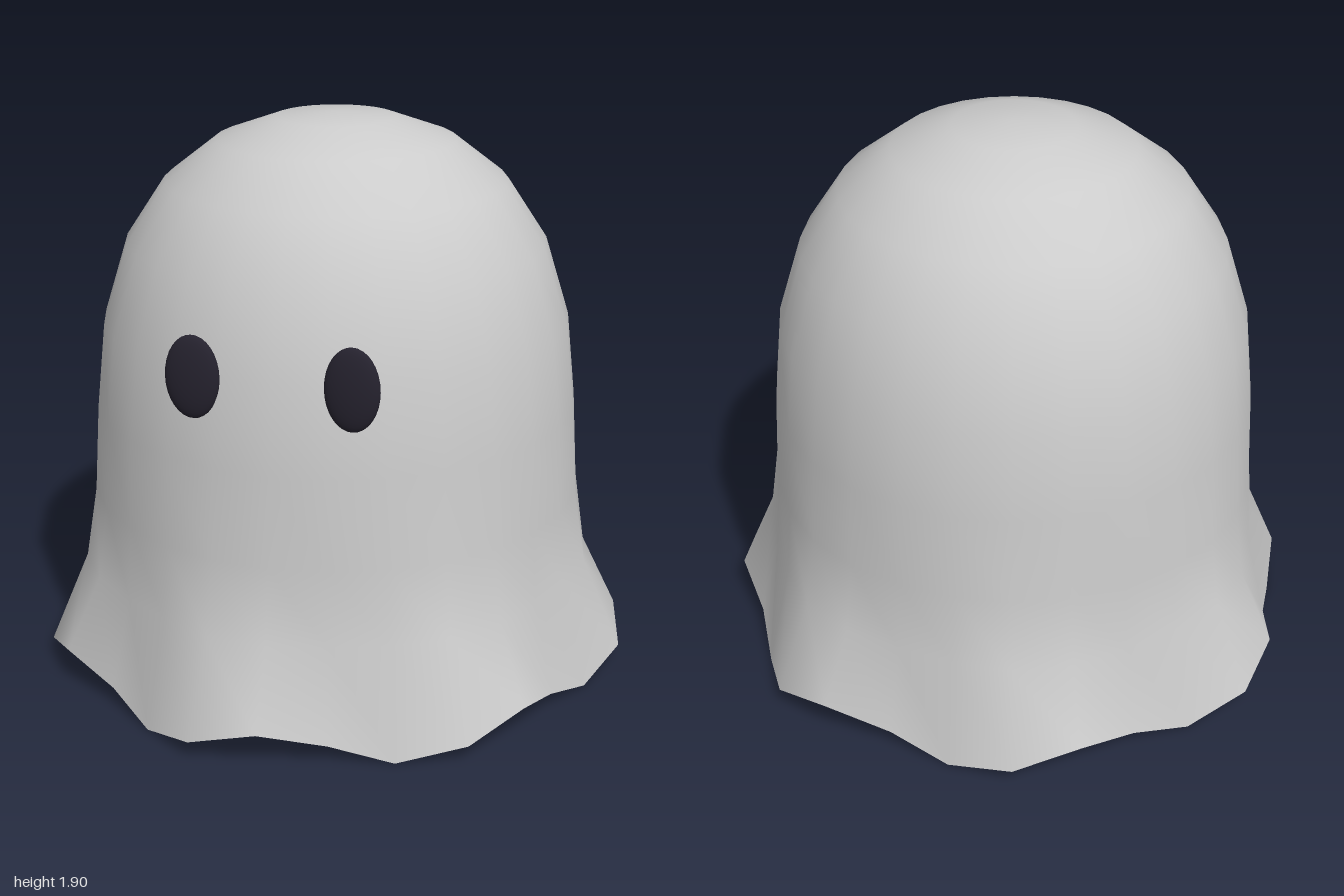
import * as THREE from 'three';
import { mergeVertices } from 'three/addons/utils/BufferGeometryUtils.js';

const SEGMENTS = 28;
const CENTRE_X = -0.025;

// Profile rows from hem to crown: [radius, height, fold strength]
const PROFILE = [
  [0.98, 0.06, 1], [0.875, 0.37, 0.33], [0.845, 0.62, 0.06], [0.827, 0.92, 0],
  [0.795, 1.21, 0], [0.71, 1.48, 0], [0.577, 1.68, 0], [0.402, 1.815, 0],
  [0.203, 1.887, 0], [0, 1.902, 0],
];

// The folds repeat every four segments: seven waves around the hem
const FOLD_OUT = [0.025, -0.044, -0.023, 0.045];
const FOLD_UP = [0.06, 0, -0.06, 0];

function sheetGeometry() {
  const points = PROFILE.map(([r, y]) => new THREE.Vector2(r, y));
  let geometry = new THREE.LatheGeometry(points, SEGMENTS);
  const pos = geometry.attributes.position;
  for (let i = 0; i < pos.count; i++) {
    const [r, y, fold] = PROFILE[i % PROFILE.length];
    const k = Math.floor(i / PROFILE.length);
    const angle = (k / SEGMENTS) * Math.PI * 2;
    const radius = r + FOLD_OUT[k % 4] * fold;
    const lift = fold === 1 ? FOLD_UP[k % 4] : 0;
    pos.setXYZ(i, Math.sin(angle) * radius, y + lift, Math.cos(angle) * radius);
  }
  // Join the seam so the shading runs smoothly all round
  geometry.deleteAttribute('uv');
  geometry.deleteAttribute('normal');
  geometry = mergeVertices(geometry, 1e-4);
  geometry.computeVertexNormals();
  return geometry;
}

export function createModel() {
  const model = new THREE.Group();
  model.name = 'ghost';

  // Draped sheet, open underneath
  const sheet = new THREE.Mesh(
    sheetGeometry(),
    new THREE.MeshStandardMaterial({ color: 0xcccccc, side: THREE.DoubleSide })
  );
  sheet.name = 'sheet';
  sheet.position.x = CENTRE_X;
  model.add(sheet);

  // Flat oval eyes
  const eyeGeometry = new THREE.SphereGeometry(1, 32, 16);
  const eyeMaterial = new THREE.MeshStandardMaterial({ color: 0x25222e });
  for (const side of [-1, 1]) {
    const eye = new THREE.Mesh(eyeGeometry, eyeMaterial);
    eye.name = side > 0 ? 'leftEye' : 'rightEye';
    eye.scale.set(0.088, 0.135, 0.03);
    eye.position.set(CENTRE_X + side * 0.253, 1.21, 0.78);
    model.add(eye);
  }
  return model;
}
